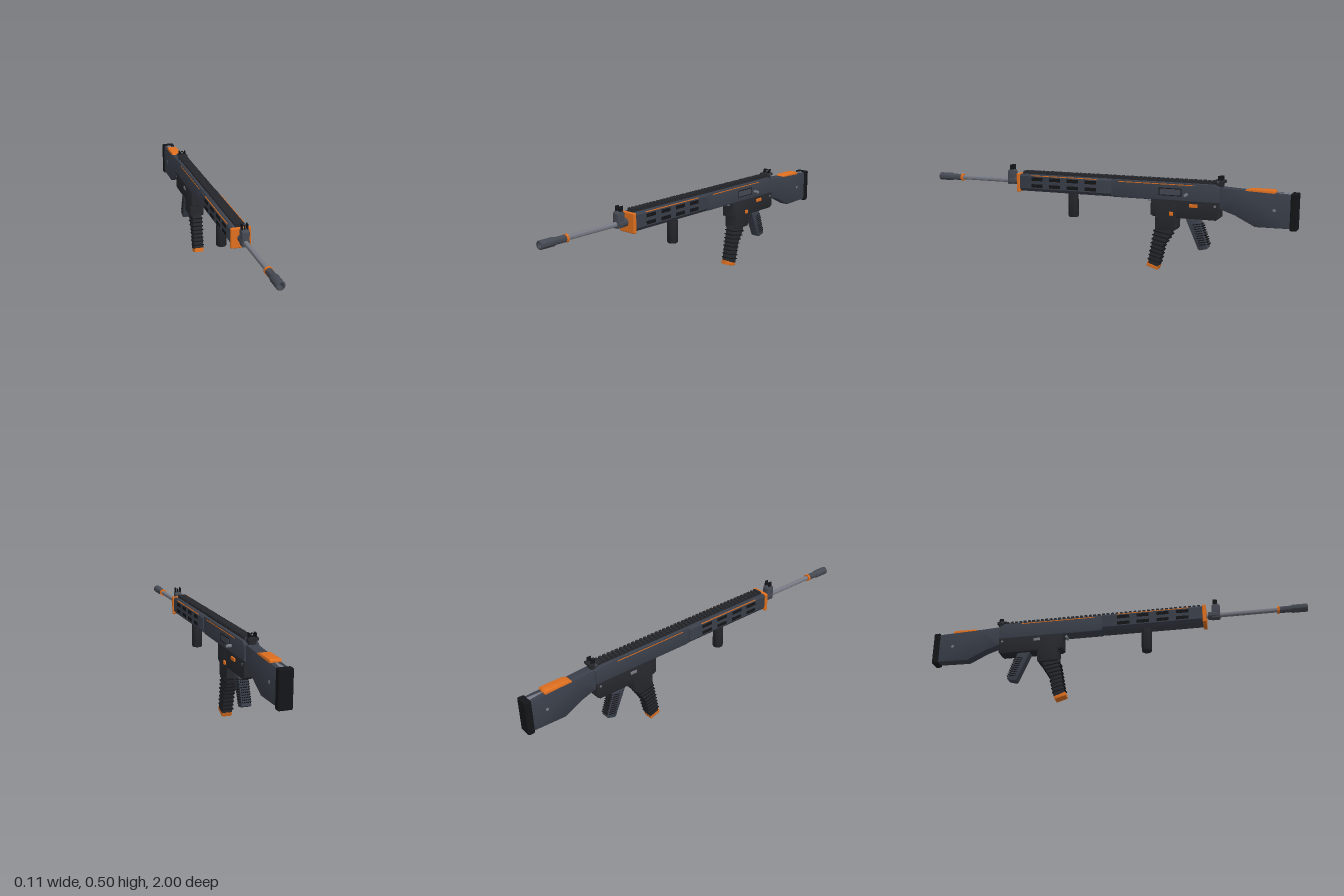
import * as THREE from 'three';
import { RoundedBoxGeometry } from 'three/addons/geometries/RoundedBoxGeometry.js';
import { toCreasedNormals } from 'three/addons/utils/BufferGeometryUtils.js';

const mat = (color) => new THREE.MeshStandardMaterial({ color });
const slate = mat(0x3a3f4a), dark = mat(0x26282d), black = mat(0x141518);
const orange = mat(0xe07020), metal = mat(0x777a84), gunmetal = mat(0x454952);

export function createModel() {
  const model = new THREE.Group();
  const root = new THREE.Group();
  root.name = 'rifle';
  root.position.x = -0.007;
  model.add(root);

  const add = (name, geometry, material, x = 0, y = 0, z = 0, parent = root) => {
    const mesh = new THREE.Mesh(geometry, material);
    mesh.name = name;
    mesh.position.set(x, y, z);
    parent.add(mesh);
    return mesh;
  };
  const group = (name) => {
    const g = new THREE.Group();
    g.name = name;
    root.add(g);
    return g;
  };
  // Box given by its lower and upper limits in y and z, centred on x
  const block = (name, material, w, y0, y1, z0, z1, r = 0.004, x = 0, parent = root) =>
    add(name, r ? new RoundedBoxGeometry(w, y1 - y0, z1 - z0, 2, r) : new THREE.BoxGeometry(w, y1 - y0, z1 - z0),
      material, x, (y0 + y1) / 2, (z0 + z1) / 2, parent);
  const extrude = (points, depth, bevel) => {
    const shape = new THREE.Shape(points.map(([a, b]) => new THREE.Vector2(a, b)));
    const geometry = new THREE.ExtrudeGeometry(shape, {
      depth: depth - 2 * bevel, bevelEnabled: bevel > 0, bevelSize: bevel,
      bevelThickness: bevel, bevelOffset: -bevel, bevelSegments: 2,
    });
    geometry.translate(0, 0, bevel - depth / 2);
    return toCreasedNormals(geometry, 0.6);
  };
  // Side outline of [z, y] points, extruded across x
  const side = (name, material, points, width, bevel = 0.004, parent = root) =>
    add(name, extrude(points, width, bevel).rotateY(-Math.PI / 2), material, 0, 0, 0, parent);
  // Turned part along z from [radius, z] points
  const turned = (name, material, points, y) =>
    add(name, toCreasedNormals(new THREE.LatheGeometry(
      points.map(([r, z]) => new THREE.Vector2(r, z)), 24).rotateX(Math.PI / 2), 0.6), material, 0, y, 0);
  // Cylinder lying along x
  const pin = (name, material, r, x0, x1, y, z) =>
    add(name, new THREE.CylinderGeometry(r, r, x1 - x0, 16).rotateZ(Math.PI / 2), material, (x0 + x1) / 2, y, z);

  // Barrel, muzzle device with open bore, and collar
  const bore = 0.414;
  turned('barrel', metal, [[0, 0.44], [0.012, 0.44], [0.012, 0.88], [0, 0.88]], bore);
  turned('muzzle', gunmetal, [[0.011, 0.855], [0.017, 0.855], [0.017, 0.915], [0.021, 0.925],
    [0.021, 0.997], [0.019, 1], [0.014, 1], [0.014, 0.93], [0, 0.93]], bore);
  turned('muzzleCollar', orange, [[0.01, 0.848], [0.0195, 0.848], [0.0195, 0.86], [0.01, 0.86]], bore);

  // Front sight
  turned('gasBlockSleeve', gunmetal, [[0.01, 0.495], [0.021, 0.495], [0.021, 0.55], [0.01, 0.55]], bore);
  side('frontSightBlock', gunmetal, [[0.515, 0.395], [0.558, 0.395], [0.558, 0.465], [0.55, 0.474],
    [0.522, 0.474], [0.515, 0.465]], 0.036, 0.003);
  for (const s of [-1, 1]) block('frontSightWing', black, 0.005, 0.47, 0.5, 0.523, 0.545, 0.001, s * 0.013);
  block('frontSightPost', black, 0.005, 0.47, 0.493, 0.531, 0.537, 0);

  // Handguard with chamfered lower edges and two rows of vents
  block('frontPlate', orange, 0.098, 0.36, 0.46, 0.468, 0.487, 0.005);
  const guard = [[-0.03, 0.366], [0.03, 0.366], [0.044, 0.382], [0.044, 0.447], [0.035, 0.457],
    [-0.035, 0.457], [-0.044, 0.447], [-0.044, 0.382]];
  add('handguard', extrude(guard, 0.53, 0.004), slate, 0, 0, 0.205);
  const vents = group('handguardVents');
  for (const z of [0.365, 0.262, 0.158, 0.055])
    for (const y of [0.397, 0.433])
      block('vent', black, 0.0895, y - 0.009, y + 0.009, z - 0.032, z + 0.032, 0, 0, vents);
  for (const s of [-1, 1]) {
    block('handguardStripe', orange, 0.004, 0.4475, 0.4525, 0.02, 0.4, 0, s * 0.0405);
    block('receiverStripe', orange, 0.004, 0.445, 0.449, -0.5, -0.1, 0, s * 0.0365);
  }

  // Foregrip
  const foregrip = [[0, 0.24], [0.024, 0.24], [0.027, 0.244], [0.027, 0.37], [0, 0.37]];
  add('foregrip', toCreasedNormals(new THREE.LatheGeometry(
    foregrip.map(([r, y]) => new THREE.Vector2(r, y)), 24), 0.9), dark, 0, 0, 0.171);

  // Toothed top rail
  const rail = group('topRail');
  block('railBase', dark, 0.04, 0.45, 0.463, -0.61, 0.463, 0, 0, rail);
  for (let i = 0; i < 44; i++) {
    const z = 0.45 - i * 0.0241;
    block('railTooth', dark, 0.046, 0.461, 0.472, z - 0.007, z + 0.007, 0, 0, rail);
  }

  // Receiver
  side('upperReceiver', slate, [[-0.055, 0.372], [-0.055, 0.456], [-0.6, 0.456], [-0.625, 0.44],
    [-0.625, 0.365], [-0.07, 0.365]], 0.074, 0.005);
  block('ejectionPort', black, 0.004, 0.39, 0.428, -0.435, -0.315, 0, 0.036);
  block('boltCover', gunmetal, 0.004, 0.394, 0.424, -0.43, -0.32, 0, 0.0365);
  side('lowerReceiver', dark, [[-0.273, 0.37], [-0.273, 0.288], [-0.29, 0.28], [-0.61, 0.28],
    [-0.625, 0.292], [-0.625, 0.37]], 0.076, 0.005);
  side('magazineWell', dark, [[-0.3, 0.36], [-0.297, 0.222], [-0.305, 0.215], [-0.4, 0.215],
    [-0.408, 0.225], [-0.41, 0.36]], 0.078, 0.005);

  // Controls
  pin('chargingHandle', metal, 0.008, 0.03, 0.062, 0.4, -0.46);
  block('selector', orange, 0.01, 0.338, 0.355, -0.518, -0.475, 0.002, 0.04);
  block('magazineRelease', orange, 0.012, 0.29, 0.31, -0.394, -0.374, 0.003, 0.04);
  block('boltCatch', metal, 0.008, 0.337, 0.353, -0.43, -0.395, 0.002, -0.038);
  pin('rearPin', metal, 0.006, -0.0395, 0.0395, 0.35, -0.605);
  pin('slingPin', metal, 0.007, -0.018, 0.018, 0.358, -0.257);

  // Curved ribbed magazine
  const magazine = group('magazine');
  side('magazineBody', dark, [[-0.303, 0.26], [-0.29, 0.2], [-0.258, 0.033], [-0.312, 0.015],
    [-0.338, 0.13], [-0.377, 0.19], [-0.385, 0.26]], 0.053, 0.004, magazine);
  const backZ = (y) => (y > 0.13 ? -0.338 - (y - 0.13) * 0.63 : -0.312 - (y - 0.015) * 0.226);
  for (let i = 0; i < 8; i++) {
    const yf = 0.207 - i * 0.0212, yb = yf - 0.016, zf = -0.285 + i * 0.0039, zb = backZ(yb) - 0.004;
    side('magazineRib', black, [[zf, yf], [zb, yb], [zb, yb - 0.005], [zf, yf - 0.005]],
      i < 4 ? 0.06 : 0.056, 0, magazine);
  }
  side('magazineBase', orange, [[-0.254, 0.04], [-0.25, 0.018], [-0.307, 0], [-0.315, 0.02]], 0.052, 0.004, magazine);

  // Pistol grip with stippled back and sides
  const grip = group('pistolGrip');
  side('gripBody', slate, [[-0.45, 0.285], [-0.52, 0.285], [-0.571, 0.138], [-0.565, 0.132],
    [-0.53, 0.122], [-0.52, 0.126]], 0.05, 0.005, grip);
  const dot = new THREE.BoxGeometry(0.004, 0.004, 0.01);
  for (let r = 0; r < 10; r++) {
    const t = r / 9, y = 0.255 - 0.1 * t, z = -0.532 - 0.034 * t;
    for (let c = -2; c <= 2; c++) add('backStipple', dot, black, c * 0.009, y, z - 0.003, grip);
    for (const s of [-1, 1])
      for (let c = 0; c < 4; c++)
        add('sideStipple', dot, black, s * 0.0245, y - c * 0.002, z + 0.009 + c * 0.009, grip);
  }

  // Stock, cheek rest and butt pad
  side('stock', slate, [[-0.615, 0.445], [-0.615, 0.34], [-0.64, 0.332], [-0.7, 0.312], [-0.8, 0.262],
    [-0.97, 0.265], [-0.97, 0.428], [-0.74, 0.438]], 0.056, 0.005);
  turned('bufferTube', metal, [[0, -0.97], [0.02, -0.97], [0.02, -0.74], [0, -0.74]], 0.412);
  side('cheekRest', orange, [[-0.735, 0.425], [-0.745, 0.437], [-0.77, 0.445], [-0.885, 0.445],
    [-0.892, 0.438], [-0.892, 0.42]], 0.054, 0.004);
  block('buttPad', black, 0.068, 0.256, 0.435, -1, -0.965, 0.007);
  pin('stockScrew', metal, 0.008, -0.0295, 0.0295, 0.35, -0.89);

  // Rear sight
  block('rearSightBase', dark, 0.052, 0.463, 0.477, -0.645, -0.592, 0.002);
  block('rearSightMount', dark, 0.036, 0.44, 0.466, -0.635, -0.6, 0.002);
  for (const s of [-1, 1]) block('rearSightEar', black, 0.005, 0.475, 0.498, -0.635, -0.612, 0.001, s * 0.016);
  add('rearAperture', new THREE.TorusGeometry(0.008, 0.003, 8, 20), black, 0, 0.487, -0.624);
  pin('sightKnob', gunmetal, 0.006, -0.03, 0.03, 0.47, -0.615);

  return model;
}
